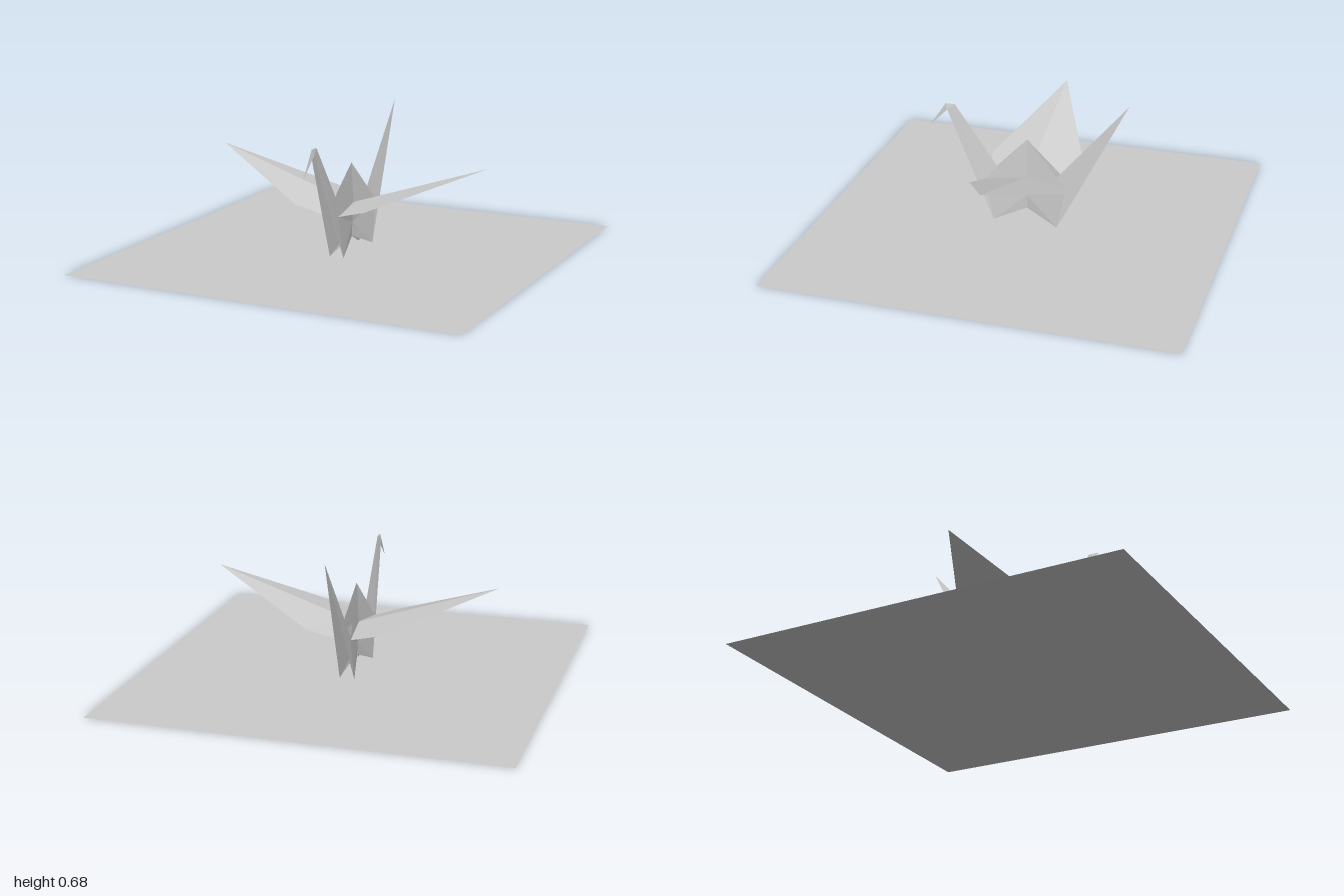
import * as THREE from 'three';

const paper = new THREE.MeshStandardMaterial({
  color: 0xcccccc,
  flatShading: true,
  side: THREE.DoubleSide,
});

// Folded sheet: each facet is a list of corner points, split as a fan
function sheet(name, facets) {
  const pos = [];
  for (const f of facets) {
    for (let i = 1; i < f.length - 1; i++) pos.push(...f[0], ...f[i], ...f[i + 1]);
  }
  const geo = new THREE.BufferGeometry();
  geo.setAttribute('position', new THREE.Float32BufferAttribute(pos, 3));
  geo.computeVertexNormals();
  const mesh = new THREE.Mesh(geo, paper);
  mesh.name = name;
  return mesh;
}

export function createModel() {
  const model = new THREE.Group();
  model.name = 'paperCrane';

  // Flat square the crane stands on
  const base = new THREE.Mesh(new THREE.PlaneGeometry(2, 2).rotateX(-Math.PI / 2), paper);
  base.name = 'baseSheet';
  model.add(base);

  for (const s of [1, -1]) {
    const side = s > 0 ? 'left' : 'right';
    const p = (x, y, z) => [s * x, y, z];

    // Shared fold points of this half
    const apex = p(0, 0.44, 0);
    const root = p(0.012, 0.242, 0);
    const hub = p(0.005, 0.14, 0);
    const belly = p(0.003, 0.07, 0);
    const wingTip = p(0.712, 0.475, 0);

    const body = [], wing = [], hump = [];
    for (const e of [1, -1]) {
      const shoulder = p(0.033, 0.215, e * 0.208);
      const foot = p(0.037, 0, e * 0.163);
      const corner = p(0.182, 0.258, e * 0.238);
      body.push([hub, root, shoulder], [hub, shoulder, foot], [hub, foot, belly]);
      wing.push([root, wingTip, corner], [root, corner, shoulder]);
      hump.push([apex, shoulder, root]);
    }
    model.add(
      sheet(side + 'BodySide', body),
      sheet(side + 'Wing', wing),
      sheet(side + 'BackHump', hump),
    );

    // Neck and tail: long points creased along a spine at x = 0
    const nape = p(0, 0.58, 0.37);
    const throat = p(0.008, 0.55, 0.408);
    const brow = p(0, 0.58, 0.418);
    const beak = p(0, 0.45, 0.505);
    model.add(
      sheet(side + 'Neck', [[nape, throat, p(0.037, 0, 0.163), p(0, 0.1, 0.03)]]),
      sheet(side + 'Head', [[nape, brow, throat], [brow, beak, throat]]),
      sheet(side + 'Tail', [[p(0, 0.675, -0.505), p(0.037, 0, -0.163), p(0, 0.11, -0.03)]]),
    );
  }
  return model;
}
